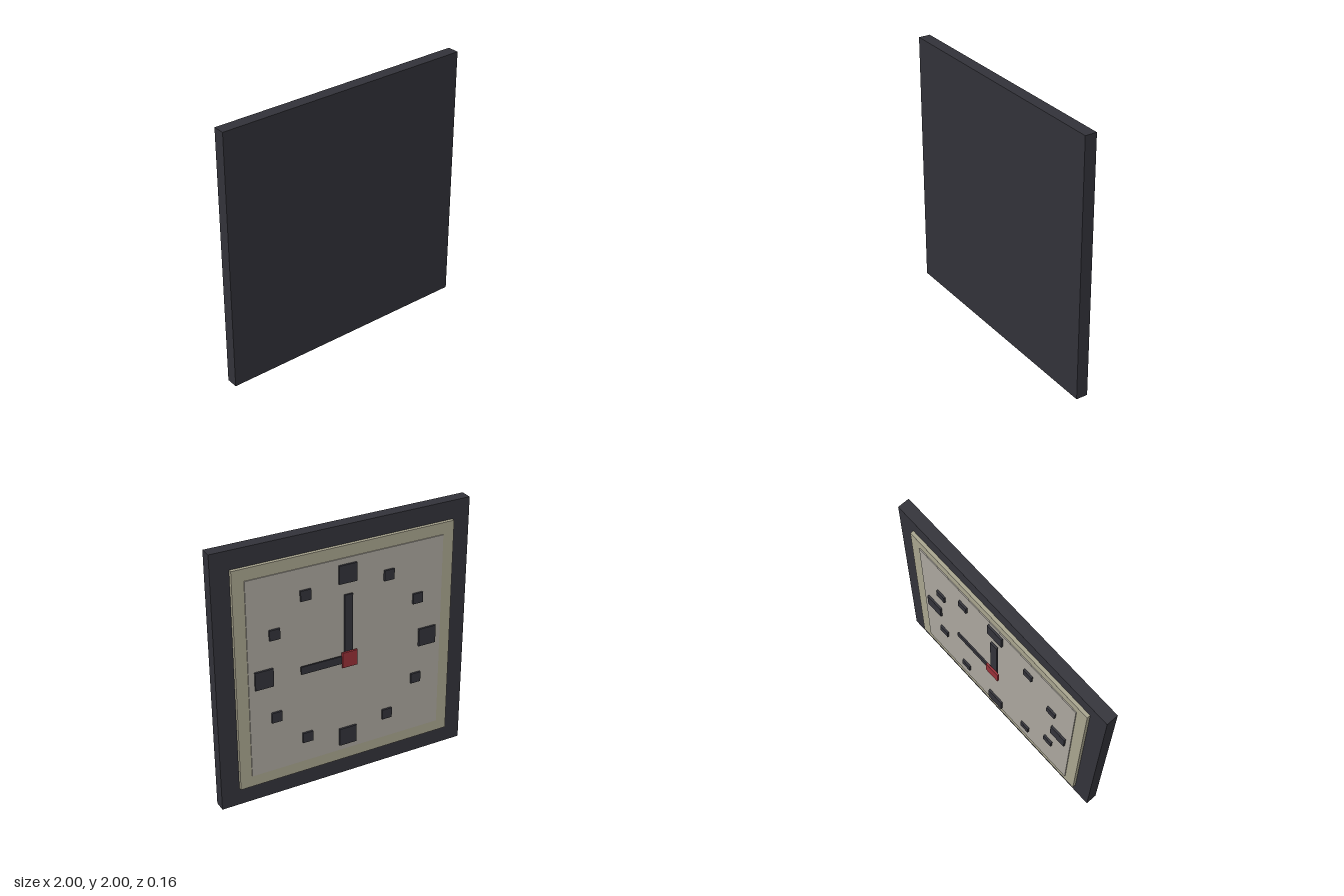
import * as THREE from 'three';

const dark = new THREE.MeshStandardMaterial({ color: 0x33333a });
const bezelColor = new THREE.MeshStandardMaterial({ color: 0xaaa690 });
const dialColor = new THREE.MeshStandardMaterial({ color: 0xaca89f });
const red = new THREE.MeshStandardMaterial({ color: 0x9a3038 });

export function createModel() {
  const clock = new THREE.Group();
  clock.name = 'wallClock';

  // Block centred on (x, y), spanning zBack (towards the wall) to zFace
  function block(name, material, w, h, x, y, zBack, zFace) {
    const mesh = new THREE.Mesh(new THREE.BoxGeometry(w, h, zBack - zFace), material);
    mesh.name = name;
    mesh.position.set(x, y, (zBack + zFace) / 2);
    clock.add(mesh);
  }

  // Stepped body; the dial looks towards -z
  block('frame', dark, 2, 2, 0, 1, 0.082, -0.008);
  block('bezel', bezelColor, 1.72, 1.72, 0, 1, -0.008, -0.034);
  block('dial', dialColor, 1.54, 1.54, 0, 1, -0.034, -0.041);

  // Twelve upright square hour markers, larger at the quarters
  for (let i = 0; i < 12; i++) {
    const angle = (i * Math.PI) / 6;
    const quarter = i % 3 === 0;
    const size = quarter ? 0.14 : 0.08;
    block(quarter ? 'quarterMarker' : 'hourMarker', dark, size, size,
      Math.sin(angle) * 0.655, 1 + Math.cos(angle) * 0.655, -0.041, -0.056);
  }

  // Hands and centre cap
  block('minuteHand', dark, 0.065, 0.5, 0, 1.25, -0.05, -0.064);
  block('hourHand', dark, 0.38, 0.06, 0.19, 1, -0.059, -0.071);
  block('centreCap', red, 0.12, 0.12, 0, 1, -0.067, -0.082);

  return clock;
}
